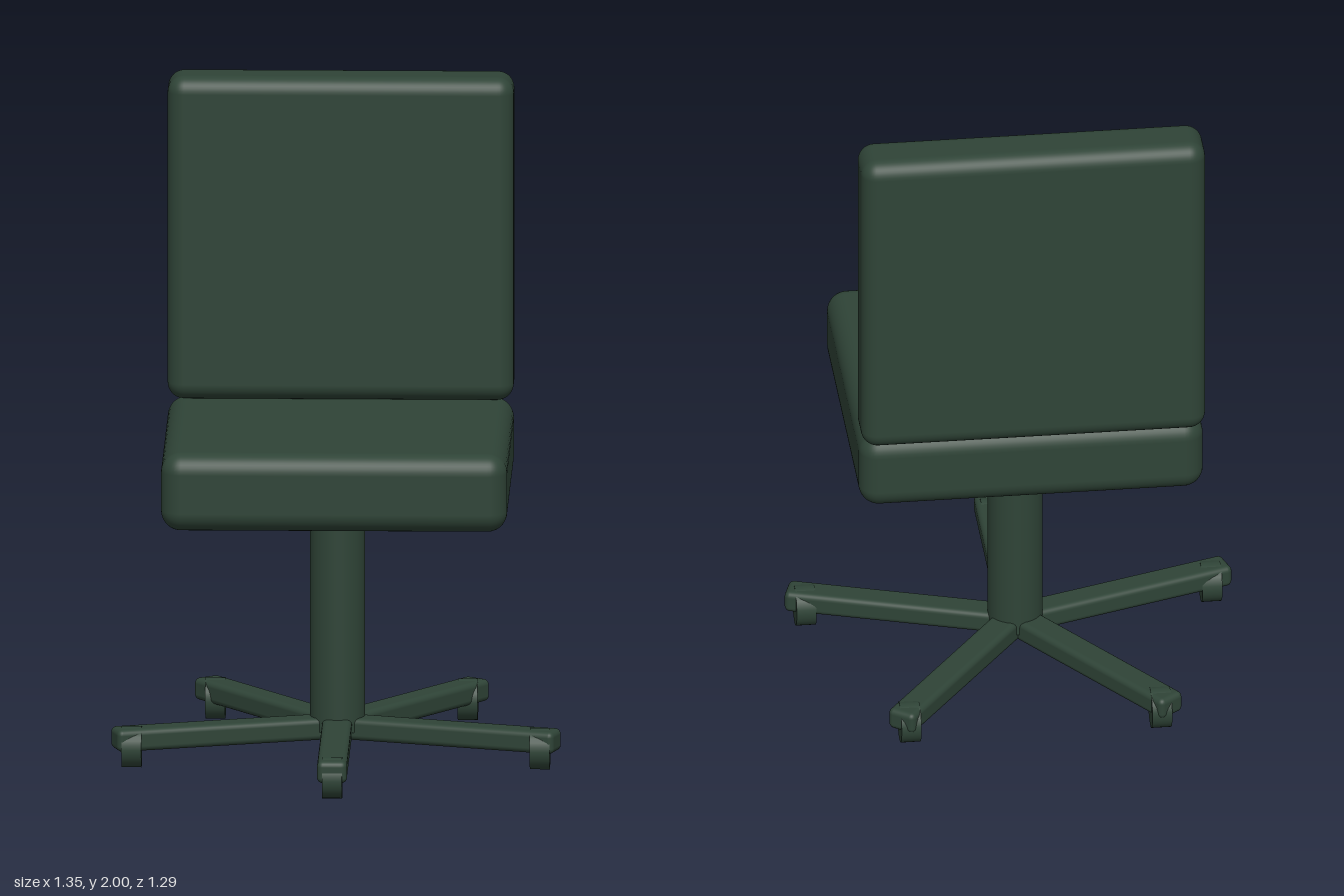
import * as THREE from 'three';
import { RoundedBoxGeometry } from 'three/addons/geometries/RoundedBoxGeometry.js';

export function createModel() {
  const chair = new THREE.Group();
  chair.name = 'officeChair';
  const darkGreen = new THREE.MeshStandardMaterial({ color: 0x2f4437 });
  darkGreen.name = 'darkGreen';

  const add = (name, geometry, x, y, z, parent = chair) => {
    const mesh = new THREE.Mesh(geometry, darkGreen);
    mesh.name = name;
    mesh.position.set(x, y, z);
    parent.add(mesh);
    return mesh;
  };

  // Cushions
  add('backrest', new RoundedBoxGeometry(1.04, 0.99, 0.18, 5, 0.05), 0, 1.505, -0.49);
  add('seat', new RoundedBoxGeometry(1.04, 0.238, 0.945, 5, 0.06), 0, 0.892, -0.058);

  // Central column
  const axisZ = -0.06;
  add('column', new THREE.CylinderGeometry(0.083, 0.083, 0.71, 32), 0, 0.435, axisZ);

  // Five-legged star base; all casters roll along z
  const legLength = 0.7;
  const legGeometry = new RoundedBoxGeometry(0.09, 0.067, legLength, 3, 0.017);
  legGeometry.translate(0, 0, legLength / 2);
  const casterGeometry = new THREE.CylinderGeometry(0.06, 0.06, 0.06, 28);
  casterGeometry.rotateZ(Math.PI / 2);

  const base = new THREE.Group();
  base.name = 'starBase';
  base.position.z = axisZ;
  chair.add(base);
  for (let i = 0; i < 5; i++) {
    const angle = (i * Math.PI * 2) / 5;
    add('leg', legGeometry, 0, 0.088, 0, base).rotation.y = angle;
    add('caster', casterGeometry, Math.sin(angle) * 0.645, 0.0625, Math.cos(angle) * 0.645, base).scale.set(1, 1.04, 1);
  }
  return chair;
}
